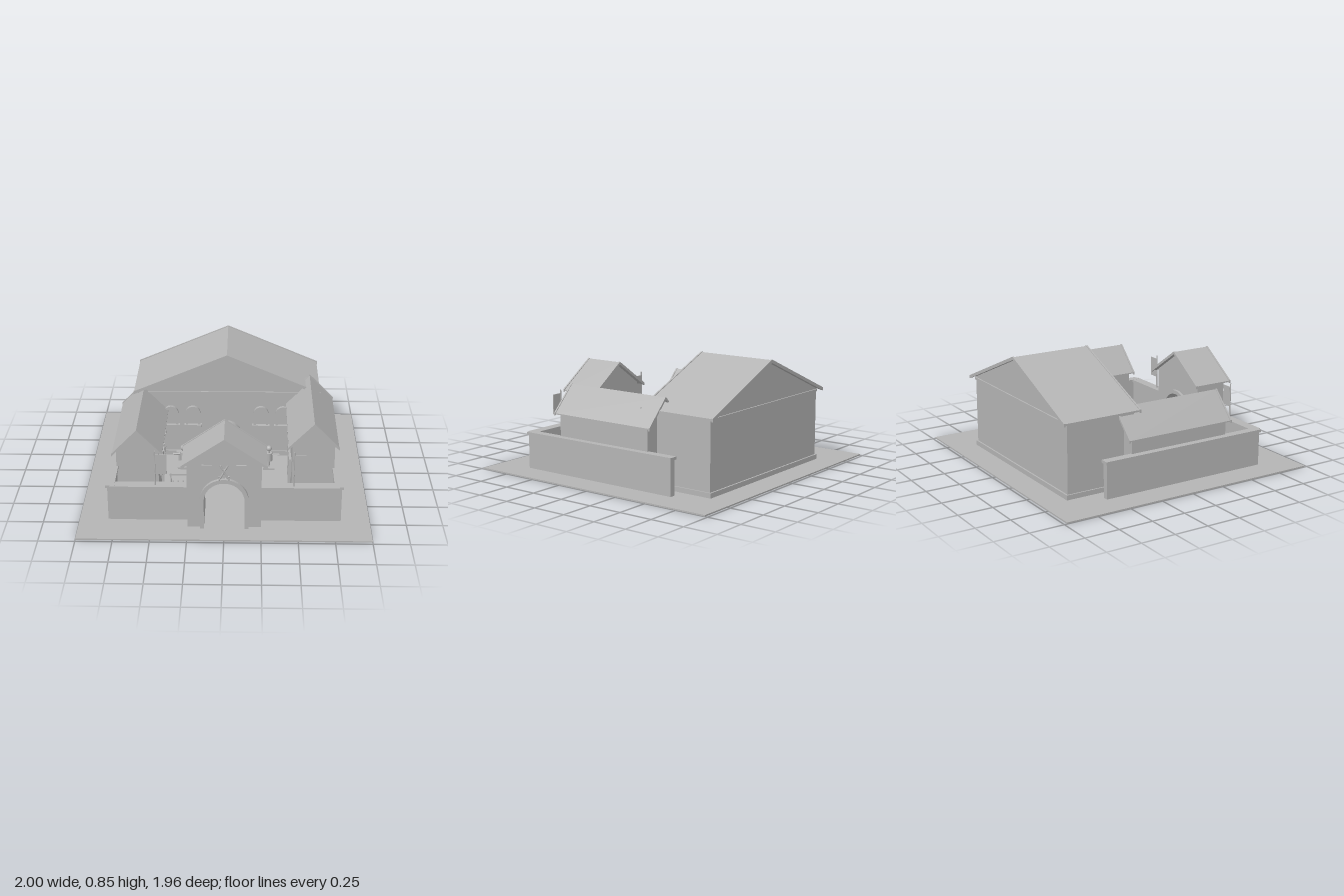
import * as THREE from 'three';

export function createModel() {
  const root = new THREE.Group();
  root.name = 'walledCourtyard';
  const stone = new THREE.MeshStandardMaterial({ color: 0xb4b4b4 });
  stone.name = 'plain grey';

  const add = (geo, name, parent = root) => {
    const m = new THREE.Mesh(geo, stone);
    m.name = name;
    parent.add(m);
    return m;
  };
  // box given by its extents
  const box = (name, x0, x1, y0, y1, z0, z1, parent = root) => {
    const m = add(new THREE.BoxGeometry(x1 - x0, y1 - y0, z1 - z0), name, parent);
    m.position.set((x0 + x1) / 2, (y0 + y1) / 2, (z0 + z1) / 2);
    return m;
  };
  // round bar between two points
  const rod = (name, a, b, r, parent = root) => {
    const p = new THREE.Vector3(...a), q = new THREE.Vector3(...b);
    const m = add(new THREE.CylinderGeometry(r, r, p.distanceTo(q), 8), name, parent);
    m.position.copy(p).add(q).multiplyScalar(0.5);
    m.quaternion.setFromUnitVectors(new THREE.Vector3(0, 1, 0), q.sub(p).normalize());
    return m;
  };
  const extrude = (name, shape, z0, z1, parent = root) => {
    const g = new THREE.ExtrudeGeometry(shape, { depth: z1 - z0, bevelEnabled: false, curveSegments: 16 });
    return add(g.translate(0, 0, z0), name, parent);
  };
  const poly = (pts) => new THREE.Shape(pts.map((p) => new THREE.Vector2(...p)));

  // outline of a round-headed opening
  const archPath = (path, r, y0, spring) => {
    path.moveTo(-r, y0);
    path.lineTo(r, y0);
    path.lineTo(r, spring);
    path.absarc(0, spring, r, 0, Math.PI, false);
    path.lineTo(-r, y0);
    return path;
  };
  // round-headed surround, open at the foot
  const archRing = (name, ro, ri, y0, spring, z0, z1, parent = root) => {
    const s = new THREE.Shape();
    s.moveTo(ri, y0);
    s.lineTo(ro, y0);
    s.lineTo(ro, spring);
    s.absarc(0, spring, ro, 0, Math.PI, false);
    s.lineTo(-ro, y0);
    s.lineTo(-ri, y0);
    s.lineTo(-ri, spring);
    s.absarc(0, spring, ri, Math.PI, 0, true);
    s.lineTo(ri, y0);
    return extrude(name, s, z0, z1, parent);
  };

  // pitched roof with raised verge boards at both ends
  const roof = (name, xc, half, eave, ridge, z0, z1, t) => {
    const g = new THREE.Group();
    g.name = name;
    g.position.x = xc;
    const chevron = (h, top, bottom) => poly([
      [-h, eave + top], [-h, eave - bottom], [0, ridge - bottom],
      [h, eave - bottom], [h, eave + top], [0, ridge + top]]);
    extrude('roofSlopes', chevron(half - 0.004, -0.004, t), z0 + 0.01, z1 - 0.01, g);
    for (const z of [z0, z1 - 0.012]) extrude('vergeBoard', chevron(half, 0, t + 0.008), z, z + 0.012, g);
    root.add(g);
  };
  // walls with gable ends that meet the underside of a roof
  const house = (name, xc, w, half, eave, ridge, z0, z1, t) => {
    const apex = ridge - t, y = apex - ((ridge - eave) / half) * w;
    extrude(name, poly([[-w, 0.01], [w, 0.01], [w, y], [0, apex], [-w, y]]), z0, z1).position.x = xc;
  };

  box('ground', -1, 1, 0, 0.01, -0.98, 0.98);

  // main hall
  house('hallWalls', 0, 0.665, 0.695, 0.55, 0.845, -0.78, -0.26, 0.02);
  roof('hallRoof', 0, 0.695, 0.55, 0.845, -0.82, -0.22, 0.016);
  box('hallPlinth', -0.675, 0.675, 0.01, 0.045, -0.792, -0.25);
  for (const z of [-0.79, -0.265]) box('hallCornice', -0.665, 0.665, 0.522, 0.538, z, z + 0.015);

  // hall door and windows
  archRing('hallDoorSurround', 0.108, 0.085, 0.01, 0.19, -0.265, -0.22);
  extrude('hallDoor', archPath(new THREE.Shape(), 0.085, 0.01, 0.19), -0.26, -0.252);
  box('doorStep', -0.11, 0.11, 0.01, 0.03, -0.26, -0.205);
  for (const x of [-0.42, -0.255, 0.255, 0.42]) {
    const g = new THREE.Group();
    g.name = 'hallWindow';
    g.position.x = x;
    archRing('windowSurround', 0.055, 0.038, 0.27, 0.365, -0.262, -0.235, g);
    extrude('windowPane', archPath(new THREE.Shape(), 0.038, 0.27, 0.365), -0.26, -0.253, g);
    box('windowSill', -0.065, 0.065, 0.255, 0.272, -0.262, -0.225, g);
    root.add(g);
  }

  // side wings: the left one is the taller
  for (const [side, eave, ridge, name] of [[1, 0.445, 0.63, 'leftWing'], [-1, 0.385, 0.57, 'rightWing']]) {
    const xc = side * 0.617;
    house(name + 'Walls', xc, 0.148, 0.18, eave, ridge, -0.34, 0.44, 0.015);
    roof(name + 'Roof', xc, 0.18, eave, ridge, -0.38, 0.47, 0.012);
    // courtyard door and windows
    const face = side * 0.465;
    for (const [z0, z1, y0, y1] of [[0.06, 0.17, 0.01, 0.24], [-0.12, -0.03, 0.14, 0.26], [0.22, 0.31, 0.14, 0.26]]) {
      box(name + 'Opening', Math.min(face, face + side * 0.01), Math.max(face, face + side * 0.01), y0, y1, z0, z1);
      const a = face - side * 0.015;
      box(name + 'Lintel', Math.min(a, face), Math.max(a, face), y1, y1 + 0.018, z0 - 0.012, z1 + 0.012);
      for (const z of [z0 - 0.012, z1]) box(name + 'Jamb', Math.min(a, face + side * 0.01), Math.max(a, face + side * 0.01), y0, y1, z, z + 0.012);
    }
  }

  // courtyard walls, cappings and flags
  for (const s of [-1, 1]) {
    const span = (name, a, b, ...rest) => box(name, Math.min(s * a, s * b), Math.max(s * a, s * b), ...rest);
    span('sideWall', 0.762, 0.802, 0.01, 0.256, -0.56, 0.715);
    span('sideWallCap', 0.752, 0.814, 0.256, 0.276, -0.57, 0.722);
    span('frontWall', 0.24, 0.79, 0.01, 0.256, 0.675, 0.72);
    span('frontWallCap', 0.25, 0.785, 0.256, 0.275, 0.66, 0.735);
    rod('flagPole', [s * 0.472, 0.25, 0.705], [s * 0.472, 0.535, 0.705], 0.005);
    box('flag', s * 0.472, s * 0.472 + 0.08, 0.362, 0.508, 0.702, 0.708);
  }

  // gatehouse
  const gate = poly([[-0.252, 0.01], [-0.15, 0.01], [-0.15, 0.225]]);
  gate.absarc(0, 0.225, 0.15, Math.PI, 0, true);
  for (const [x, y] of [[0.15, 0.01], [0.252, 0.01], [0.252, 0.5], [0, 0.675], [-0.252, 0.5]]) gate.lineTo(x, y);
  extrude('gatehouseWalls', gate, 0.57, 0.81);
  archRing('gateArch', 0.166, 0.138, 0.01, 0.222, 0.55, 0.834);
  roof('gatehouseRoof', 0, 0.29, 0.495, 0.695, 0.53, 0.845, 0.014);
  for (const s of [-1, 1]) {
    box('gateCornerBlock', s * 0.115 - 0.035, s * 0.115 + 0.035, 0.385, 0.49, 0.808, 0.82);
    // crossed ornament over the arch
    rod('gateOrnamentBar', [-s * 0.035, 0.395, 0.852], [s * 0.025, 0.505, 0.852], 0.006);
    rod('gateOrnamentGuard', [-s * 0.037, 0.425, 0.852], [-s * 0.01, 0.41, 0.852], 0.005);
  }
  box('gateOrnamentBracket', -0.01, 0.01, 0.43, 0.46, 0.8, 0.852);

  // bench by the hall
  box('benchSeat', -0.38, -0.175, 0.06, 0.072, -0.195, -0.145);
  for (const x of [-0.365, -0.205]) box('benchLeg', x, x + 0.015, 0.01, 0.06, -0.19, -0.15);

  // practice dummies
  for (const x of [-0.32, 0.315]) {
    box('dummyBase', x - 0.043, x + 0.043, 0.01, 0.025, -0.077, -0.012);
    rod('dummyPost', [x, 0.02, -0.045], [x, 0.17, -0.045], 0.008);
    rod('dummyBody', [x, 0.075, -0.045], [x, 0.14, -0.045], 0.026);
    rod('dummyArms', [x - 0.077, 0.125, -0.045], [x + 0.077, 0.125, -0.045], 0.006);
    add(new THREE.SphereGeometry(0.022, 12, 8), 'dummyHead').position.set(x, 0.175, -0.045);
  }

  // racks
  for (const z of [0.27, 0.425]) {
    for (const x of [-0.4, -0.21]) box('rackPost', x, x + 0.01, 0.01, 0.13, z - 0.005, z + 0.005);
    for (const y of [0.05, 0.115]) box('rackRail', -0.405, -0.195, y, y + 0.01, z - 0.005, z + 0.005);
  }
  for (let i = 0; i < 5; i++) {
    const x = -0.37 + i * 0.035;
    rod('rackPole', [x, 0.01, 0.44], [x, 0.16, 0.432], 0.004);
  }

  // sawhorse stand
  box('standRail', 0.23, 0.35, 0.1, 0.11, 0.48, 0.49);
  for (const s of [-1, 1]) {
    rod('standLeg', [0.29 + s * 0.05, 0.012, 0.44], [0.29 + s * 0.02, 0.12, 0.485], 0.005);
    rod('standBrace', [0.29 + s * 0.05, 0.012, 0.487], [0.29 + s * 0.03, 0.12, 0.485], 0.005);
  }
  return root;
}
